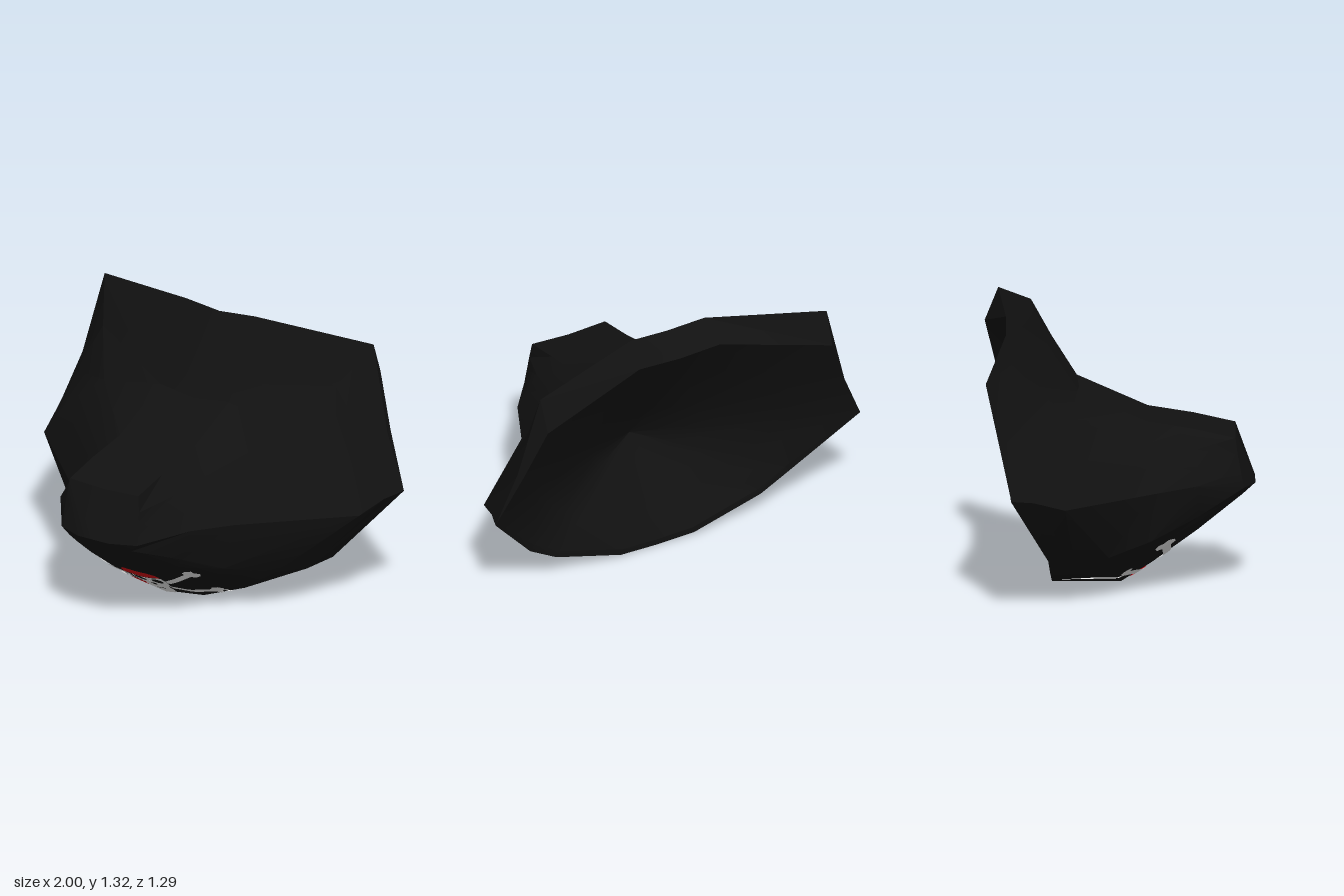
import * as THREE from 'three';
import { toCreasedNormals } from 'three/addons/utils/BufferGeometryUtils.js';

const material = (name, color, side = THREE.FrontSide) =>
  new THREE.MeshStandardMaterial({ name, color, side });

// Half cross-sections from snout to rim: top centre, top edge, shoulder, side, crease
const upper = [
  [[0, .71, .55], [.2, .72, .55], [.21, .64, .56], [.215, .56, .575], [.22, .48, .59]],
  [[0, .755, .35], [.2, .765, .35], [.28, .68, .36], [.33, .6, .365], [.38, .52, .37]],
  [[0, .79, .12], [.2, .8, .13], [.32, .72, .14], [.4, .62, .145], [.48, .5, .15]],
  [[0, .93, -.2], [.2, .95, -.21], [.55, .88, -.24], [.78, .7, -.26], [.92, .51, -.27]],
  [[0, 1.13, -.32], [.2, 1.14, -.33], [.68, 1.07, -.42], [.86, .78, -.45], [.96, .555, -.42]],
  [[0, 1.305, -.42], [.2, 1.32, -.43], [.785, 1.26, -.585], [.89, .84, -.55], [1, .57, -.53]],
  [[0, 1.22, -.55], [.22, 1.23, -.55], [.78, 1.1, -.65], [.88, .84, -.59], [.99, .58, -.53]],
];
// The same sections under the crease, going in to the bottom centre
const lower = [
  [[.18, .44, .58], [.15, .43, .575], [.1, .43, .57], [0, .43, .57]],
  [[.33, .36, .37], [.28, .31, .37], [.2, .275, .37], [0, .26, .37]],
  [[.42, .26, .15], [.33, .19, .15], [.2, .115, .15], [0, .1, .15]],
  [[.58, .21, -.06], [.42, .1, -.03], [.2, .02, 0], [0, .003, .02]],
  [[.65, .19, -.22], [.48, .12, -.2], [.2, .02, -.17], [0, .002, -.15]],
  [[.71, .22, -.35], [.56, .13, -.34], [.2, .02, -.33], [0, 0, -.31]],
];

function maskGeometry() {
  // The rim's lower edge lies just inside the last section
  const rimLower = lower[5].map(([x, y, z]) => [x * .97, y + .03, z]);
  const ribs = upper.map((u, i) => [...u, ...(lower[i] || rimLower)]);
  // Snout tip
  ribs.unshift(ribs[0].map(([x]) => [x ? .09 : 0, .48, .645]));
  // Hollow inside, shrinking from the rim to a point
  const rim = ribs[ribs.length - 1], deep = [0, .5, -.05];
  for (const t of [.3, .72, 1])
    ribs.push(rim.map((p) => p.map((v, k) => v + (deep[k] - v) * t)));

  const loops = ribs.map((h) =>
    [...h, ...h.slice(1, -1).reverse().map(([x, y, z]) => [-x, y, z])]);
  const n = loops[0].length, index = [];
  for (let r = 0; r < loops.length - 1; r++)
    for (let c = 0; c < n; c++) {
      const a = r * n + c, b = r * n + (c + 1) % n;
      index.push(a, b, a + n, b, b + n, a + n);
    }
  const g = new THREE.BufferGeometry();
  g.setAttribute('position', new THREE.Float32BufferAttribute(loops.flat(2), 3));
  g.setIndex(index);
  return toCreasedNormals(g, .5);
}

// Split a flat shape into small triangles and lay it on the shell from the front
function drape(shape, shell) {
  const flat = new THREE.ShapeGeometry(shape, 10).toNonIndexed().attributes.position;
  const ray = new THREE.Raycaster(), out = [];
  const back = new THREE.Vector3(0, 0, -1);
  const project = (p) => {
    ray.set(new THREE.Vector3(p.x, p.y, 2), back);
    const hit = ray.intersectObject(shell)[0];
    return hit && hit.point.addScaledVector(hit.face.normal, .006);
  };
  const split = (a, b, c) => {
    const ab = a.distanceTo(b), bc = b.distanceTo(c), ca = c.distanceTo(a);
    const longest = Math.max(ab, bc, ca);
    if (longest < .03) {
      const pts = [a, b, c].map(project);
      if (pts.every(Boolean)) pts.forEach((p) => out.push(p.x, p.y, p.z));
    } else if (longest === ab) {
      const m = a.clone().lerp(b, .5); split(a, m, c); split(m, b, c);
    } else if (longest === bc) {
      const m = b.clone().lerp(c, .5); split(a, b, m); split(a, m, c);
    } else {
      const m = c.clone().lerp(a, .5); split(a, b, m); split(m, b, c);
    }
  };
  const v = (i) => new THREE.Vector3().fromBufferAttribute(flat, i);
  for (let i = 0; i < flat.count; i += 3) split(v(i), v(i + 1), v(i + 2));
  const g = new THREE.BufferGeometry();
  g.setAttribute('position', new THREE.Float32BufferAttribute(out, 3));
  g.computeVertexNormals();
  return g;
}

const polygon = (pts) => new THREE.Shape(pts.map(([x, y]) => new THREE.Vector2(x, y)));

// Bone running from (x0, y0) to a two-lobed end at (x1, y1)
function boneShape(x0, y0, x1, y1) {
  const d = new THREE.Vector2(x1 - x0, y1 - y0), len = d.length(), a = d.angle();
  const half = [[0, .012], [len - .05, .012], [len - .035, .026], [len - .01, .028],
    [len + .008, .016], [len, 0]];
  const pts = [...half, ...half.slice(0, -1).reverse().map(([u, v]) => [u, -v])];
  return polygon(pts.map(([u, v]) => [
    x0 + u * Math.cos(a) - v * Math.sin(a), y0 + u * Math.sin(a) + v * Math.cos(a)]));
}

function skullShape() {
  const s = polygon([[-.085, .135], [-.1, .115], [-.085, .085], [-.06, .07], [-.07, .035],
    [-.045, .012], [0, .006], [.05, .012], [.07, .035], [.065, .07], [.09, .085],
    [.11, .12], [.11, .168], [.05, .15], [-.03, .137]]);
  // Eye sockets, nose and mouth
  for (const [x, y, rx, ry, tilt] of [[-.052, .115, .034, .018, -.15], [.054, .122, .034, .018, .2],
    [0, .083, .017, .009, 0], [0, .045, .03, .004, 0]]) {
    const hole = new THREE.Path();
    hole.absellipse(x, y, rx, ry, 0, Math.PI * 2, true, tilt);
    s.holes.push(hole);
  }
  return s;
}

export function createModel() {
  const model = new THREE.Group();
  model.name = 'snoutMask';
  const black = material('blackCloth', 0x111111);
  const white = material('boneWhite', 0xe2e2e2, THREE.DoubleSide);
  const red = material('scarfRed', 0xcc0a12, THREE.DoubleSide);

  const shell = new THREE.Mesh(maskGeometry(), black);
  shell.name = 'maskShell';
  model.add(shell);

  const paint = (name, shape, mat) => {
    const mesh = new THREE.Mesh(drape(shape, shell), mat);
    mesh.name = name;
    model.add(mesh);
  };
  paint('skull', skullShape(), white);
  // Headscarf and its knot
  paint('headscarf', polygon([[-.13, .14], [-.03, .14], [.05, .153], [.11, .172], [.1, .19],
    [.06, .2], [-.02, .205], [-.08, .2], [-.115, .175]]), red);
  paint('scarfKnot', polygon([[-.15, .085], [-.1, .085], [-.065, .068], [-.075, .03],
    [-.12, .032], [-.165, .05]]), red);
  // Crossed bones
  paint('upperRightBone', boneShape(-.11, .115, -.335, .235), white);
  paint('upperLeftBone', boneShape(.115, .13, .315, .25), white);
  paint('lowerRightBone', boneShape(-.15, .07, -.345, .085), white);
  paint('lowerLeftBone', boneShape(.08, .07, .335, .09), white);
  return model;
}
